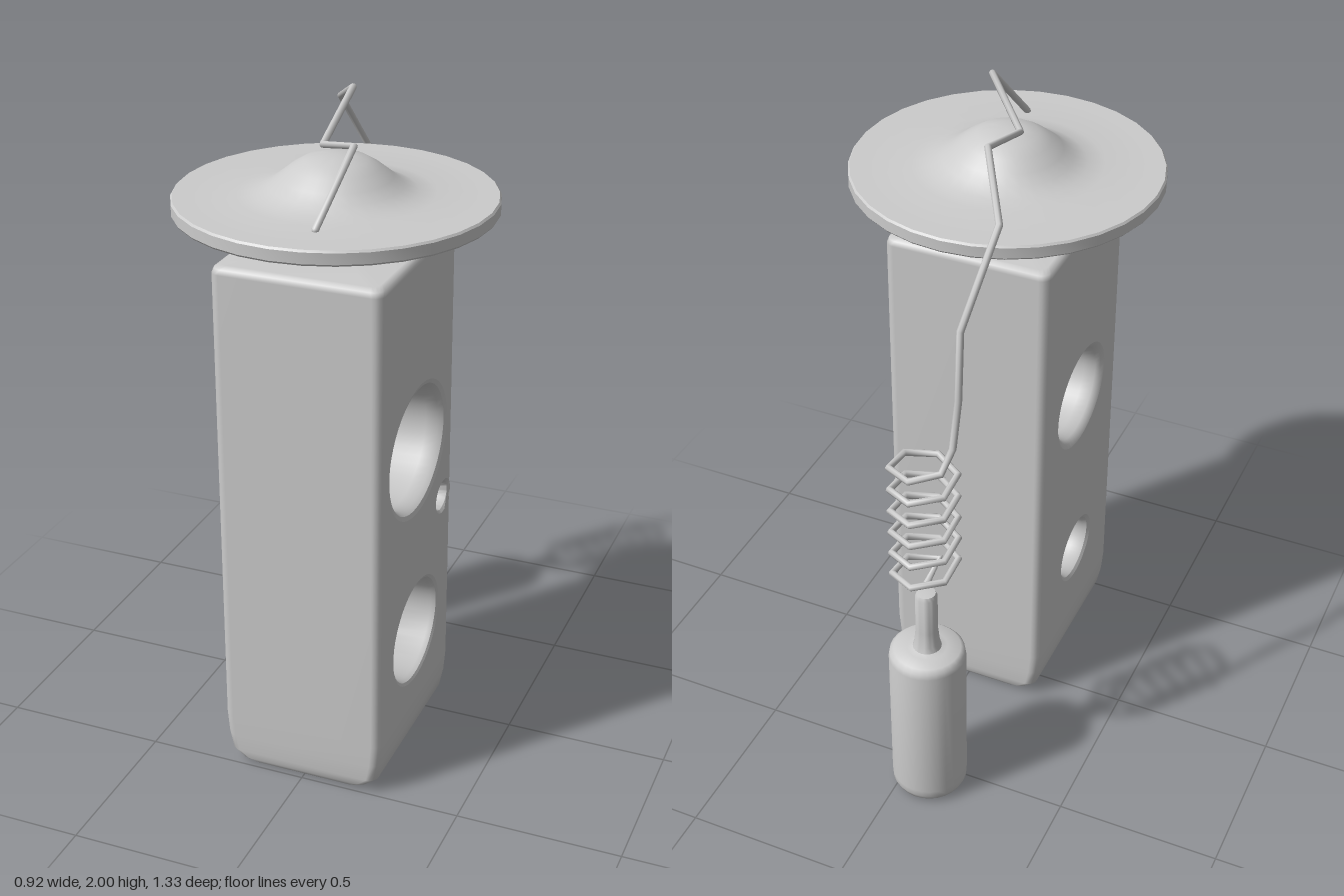
import * as THREE from 'three';
import { toCreasedNormals } from 'three/addons/utils/BufferGeometryUtils.js';

const material = new THREE.MeshStandardMaterial({ color: 0xcccccc });
const SQUASH = 0.85; // holes are slightly lower than they are wide

function add(parent, name, geometry) {
  const mesh = new THREE.Mesh(geometry, material);
  mesh.name = name;
  parent.add(mesh);
  return mesh;
}

function lathe(profile, segments = 32, crease = 0.6) {
  const points = profile.map(([r, y]) => new THREE.Vector2(r, y));
  return toCreasedNormals(new THREE.LatheGeometry(points, segments), crease);
}

// Straight-segment path for the bent wire
class Polyline extends THREE.Curve {
  constructor(points) {
    super();
    this.points = points;
  }
  getPoint(t, target = new THREE.Vector3()) {
    const s = THREE.MathUtils.clamp(t, 0, 1) * (this.points.length - 1);
    const i = Math.min(Math.floor(s), this.points.length - 2);
    return target.lerpVectors(this.points[i], this.points[i + 1], s - i);
  }
  getPointAt(t, target) { return this.getPoint(t, target); }
  getTangentAt(t, target) { return this.getTangent(t, target); }
}

// Block shell: rounded-rectangle rings stacked in y, open where the drilled faces go
function blockShell() {
  const rings = [ // y, half x, half z, corner radius
    [0, 0, 0, 0], [0, 0.15, 0.27, 0.03], [0.006, 0.18, 0.285, 0.03], [0.02, 0.208, 0.294, 0.03],
    [0.045, 0.238, 0.298, 0.03], [0.1, 0.249, 0.3, 0.03], [0.17, 0.255, 0.3, 0.03],
    [1.605, 0.255, 0.3, 0.03], [1.62, 0.25, 0.295, 0.03], [1.63, 0.235, 0.28, 0.03], [1.63, 0, 0, 0],
  ];
  const n = 20, positions = [], full = [], open = [];
  for (const [y, hx, hz, r] of rings) {
    for (let c = 0; c < 4; c++) {
      const sx = c === 0 || c === 3 ? 1 : -1, sz = c < 2 ? 1 : -1;
      for (let k = 0; k < 5; k++) {
        const a = (c + k / 4) * Math.PI / 2;
        positions.push(sx * (hx - r) + r * Math.cos(a), y, sz * (hz - r) + r * Math.sin(a));
      }
    }
  }
  for (let j = 0; j < rings.length - 1; j++) {
    for (let i = 0; i < n; i++) {
      const a = j * n + i, b = j * n + (i + 1) % n, c = a + n, d = b + n;
      full.push(a, c, b, b, c, d);
      const drilled = j === 6 && (i === 9 || i === 19);
      if (!drilled) open.push(a, c, b, b, c, d);
    }
  }
  const g = new THREE.BufferGeometry();
  g.setAttribute('position', new THREE.Float32BufferAttribute(positions, 3));
  g.setIndex(full);
  g.computeVertexNormals();
  g.setIndex(open);
  return g;
}

// Flat side face with elliptical openings; side is +1 or -1 in x
function drilledFace(side, holes) {
  const shape = new THREE.Shape();
  shape.moveTo(-0.27, 0.17).lineTo(0.27, 0.17).lineTo(0.27, 1.605).lineTo(-0.27, 1.605).closePath();
  for (const [z, y, r] of holes) {
    const hole = new THREE.Path();
    hole.absellipse(-side * z, y, r, r * SQUASH, 0, Math.PI * 2, true);
    shape.holes.push(hole);
  }
  return new THREE.ShapeGeometry(shape, 24).rotateY(side * Math.PI / 2).translate(side * 0.255, 0, 0);
}

// Inside wall of a hole, profile as [radius, x] from the +x face inwards
function bore(profile, z, y) {
  return lathe(profile, 48).rotateZ(-Math.PI / 2).scale(1, SQUASH, 1).translate(0, y, z);
}

export function createModel() {
  const model = new THREE.Group();
  model.name = 'expansionValve';

  // Valve block with its stepped ports and mounting pits
  const block = new THREE.Group();
  block.name = 'valveBlock';
  block.position.z = 0.2;
  model.add(block);
  add(block, 'blockShell', blockShell());
  add(block, 'portFace', drilledFace(1, [[0, 1.025, 0.24], [0, 0.412, 0.195], [0.215, 0.765, 0.063], [-0.22, 0.765, 0.063]]));
  add(block, 'plainFace', drilledFace(-1, [[0, 1.025, 0.19], [0, 0.412, 0.125]]));
  add(block, 'largePort', bore([
    [0.24, 0.255], [0.225, 0.25], [0.214, 0.235], [0.207, 0.2], [0.2, 0.02], [0.19, 0],
    [0.168, -0.005], [0.157, -0.02], [0.157, -0.2], [0.165, -0.235], [0.175, -0.248], [0.19, -0.255],
  ], 0, 1.025));
  add(block, 'smallPort', bore([
    [0.195, 0.255], [0.185, 0.25], [0.178, 0.235], [0.172, 0.08], [0.165, 0.07], [0.147, 0.065],
    [0.139, 0.055], [0.135, -0.03], [0.128, -0.04], [0.11, -0.045], [0.103, -0.055],
    [0.103, -0.21], [0.107, -0.235], [0.113, -0.248], [0.125, -0.255],
  ], 0, 0.412));
  for (const z of [0.215, -0.22]) {
    add(block, 'mountingPit', bore([
      [0.063, 0.255], [0.053, 0.248], [0.047, 0.23], [0.043, 0.18], [0.032, 0.168], [0, 0.165],
    ], z, 0.765));
  }

  // Domed diaphragm disc on top
  const disc = add(model, 'diaphragmDisc', lathe([
    [0.17, 1.625], [0.185, 1.635], [0.21, 1.65], [0.26, 1.682], [0.3, 1.703], [0.34, 1.717], [0.4, 1.725],
    [0.455, 1.732], [0.46, 1.738], [0.46, 1.77], [0.455, 1.776], [0.4, 1.776], [0.28, 1.778], [0.23, 1.785],
    [0.19, 1.802], [0.16, 1.825], [0.125, 1.853], [0.09, 1.874], [0.05, 1.884], [0, 1.887],
  ], 32));
  disc.position.z = 0.2;

  // Capillary wire: bent lead, coil, then the tail towards the bulb
  const cx = -0.08, cz = -0.55;
  const path = [
    [0.07, 1.78, 0.51], [0.115, 1.967, 0.35], [-0.05, 1.9, 0.172], [-0.07, 1.99, -0.098],
    [-0.197, 1.895, -0.31], [-0.17, 1.667, -0.497], [-0.17, 1.455, -0.512], [-0.165, 1.31, -0.54],
    [-0.15, 1.25, -0.585],
  ].map((p) => new THREE.Vector3(...p));
  const turns = 5.5, steps = turns * 6;
  for (let i = 0; i <= steps; i++) {
    const a = i / 6 * Math.PI * 2;
    path.push(new THREE.Vector3(cx + 0.095 * Math.sin(a), 1.245 - 0.42 * i / steps, cz - 0.095 * Math.cos(a)));
  }
  path.push(new THREE.Vector3(cx, 0.797, cz));
  add(model, 'capillaryWire', new THREE.TubeGeometry(new Polyline(path), path.length - 1, 0.0105, 8));
  for (const end of [path[0], path[path.length - 1]]) {
    add(model, 'wireEnd', new THREE.SphereGeometry(0.0105, 8, 6)).position.copy(end);
  }

  // Sensing bulb with its neck
  const bulb = add(model, 'sensingBulb', lathe([
    [0, 0.005], [0.09, 0.005], [0.106, 0.012], [0.114, 0.03], [0.115, 0.05], [0.115, 0.525], [0.112, 0.543],
    [0.1, 0.554], [0.06, 0.557], [0.043, 0.562], [0.038, 0.58], [0.033, 0.63], [0.033, 0.755],
    [0.028, 0.767], [0, 0.77],
  ], 28, 0.9));
  bulb.position.set(cx, 0, cz);

  return model;
}
